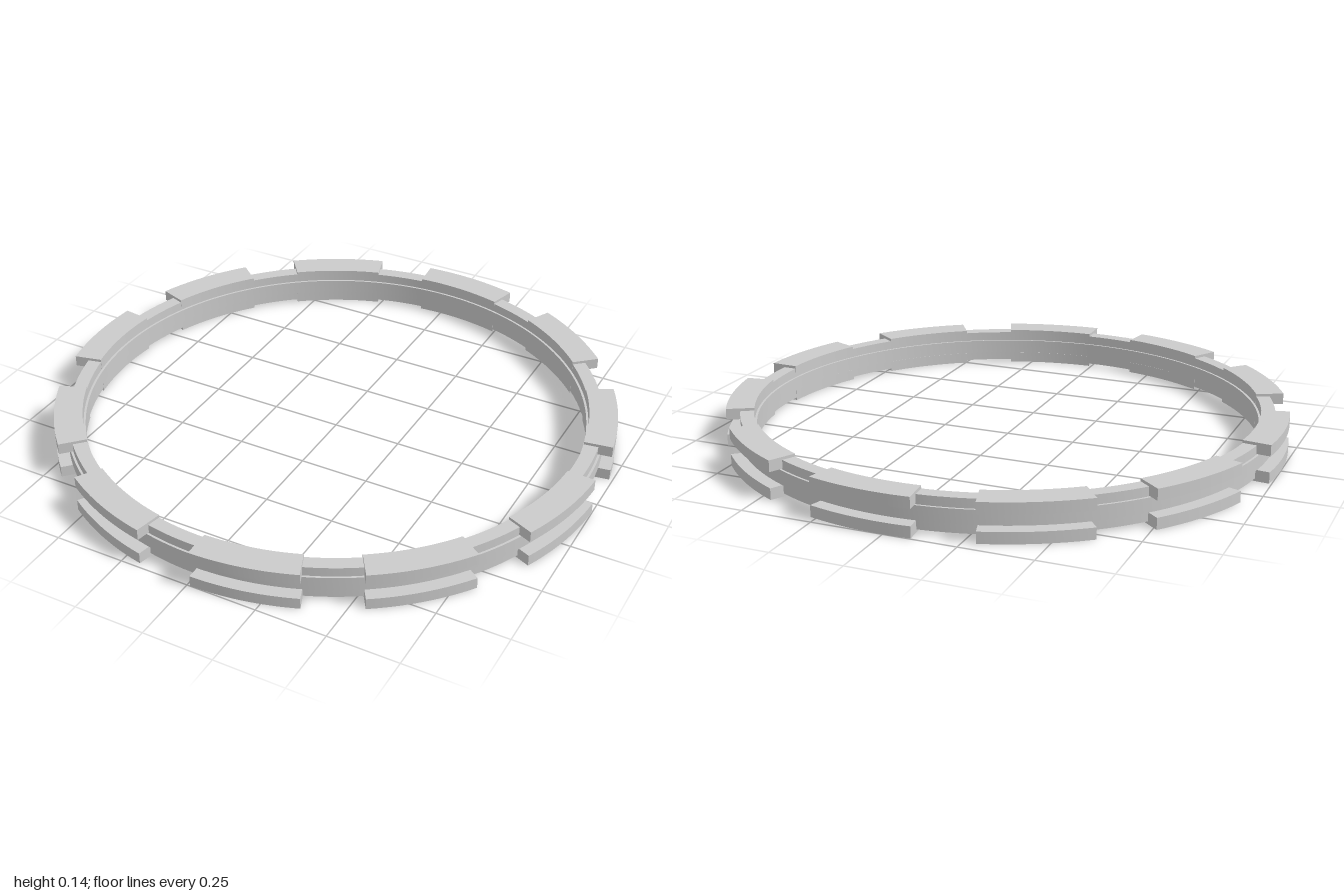
import * as THREE from 'three';
import { toCreasedNormals } from 'three/addons/utils/BufferGeometryUtils.js';

const material = new THREE.MeshStandardMaterial({ color: 0xcccccc });
const BLOCKS = 11;
const HEIGHT = 0.136;
const rad = THREE.MathUtils.degToRad;

// Stands a flat outline up between heights y0 and y1, angles running from +x to +z
function slab(name, shape, y0, y1, curveSegments) {
  let geometry = new THREE.ExtrudeGeometry(shape, { depth: y1 - y0, bevelEnabled: false, curveSegments });
  geometry.rotateX(Math.PI / 2);
  geometry.translate(0, y1, 0);
  geometry = toCreasedNormals(geometry, rad(30));
  const mesh = new THREE.Mesh(geometry, material);
  mesh.name = name;
  return mesh;
}

// Full ring outline
function ringShape(inner, outer) {
  const shape = new THREE.Shape();
  shape.absarc(0, 0, outer, 0, Math.PI * 2, false);
  const hole = new THREE.Path();
  hole.absarc(0, 0, inner, 0, Math.PI * 2, true);
  shape.holes.push(hole);
  return shape;
}

// Outline of one curved block
function arcShape(inner, outer, start, end) {
  const shape = new THREE.Shape();
  shape.absarc(0, 0, outer, start, end, false);
  shape.absarc(0, 0, inner, end, start, true);
  shape.closePath();
  return shape;
}

export function createModel() {
  const group = new THREE.Group();
  group.name = 'notchedRing';

  // Central band, slightly proud inside and outside
  group.add(slab('centralBand', ringShape(0.893, 0.958), 0.043, 0.093, 128));

  // Narrow flanges visible between the blocks
  group.add(slab('lowerFlange', ringShape(0.901, 0.95), 0.01, 0.043, 128));
  group.add(slab('upperFlange', ringShape(0.901, 0.95), 0.093, HEIGHT - 0.01, 128));

  // Evenly spaced blocks, paired above and below the band
  for (let i = 0; i < BLOCKS; i++) {
    const start = rad(2.8 + (i * 360) / BLOCKS);
    const shape = arcShape(0.9, 1, start, start + rad(21.1));
    group.add(slab('lowerBlock' + i, shape, 0, 0.04, 12));
    group.add(slab('upperBlock' + i, shape, HEIGHT - 0.04, HEIGHT, 12));
  }
  return group;
}
